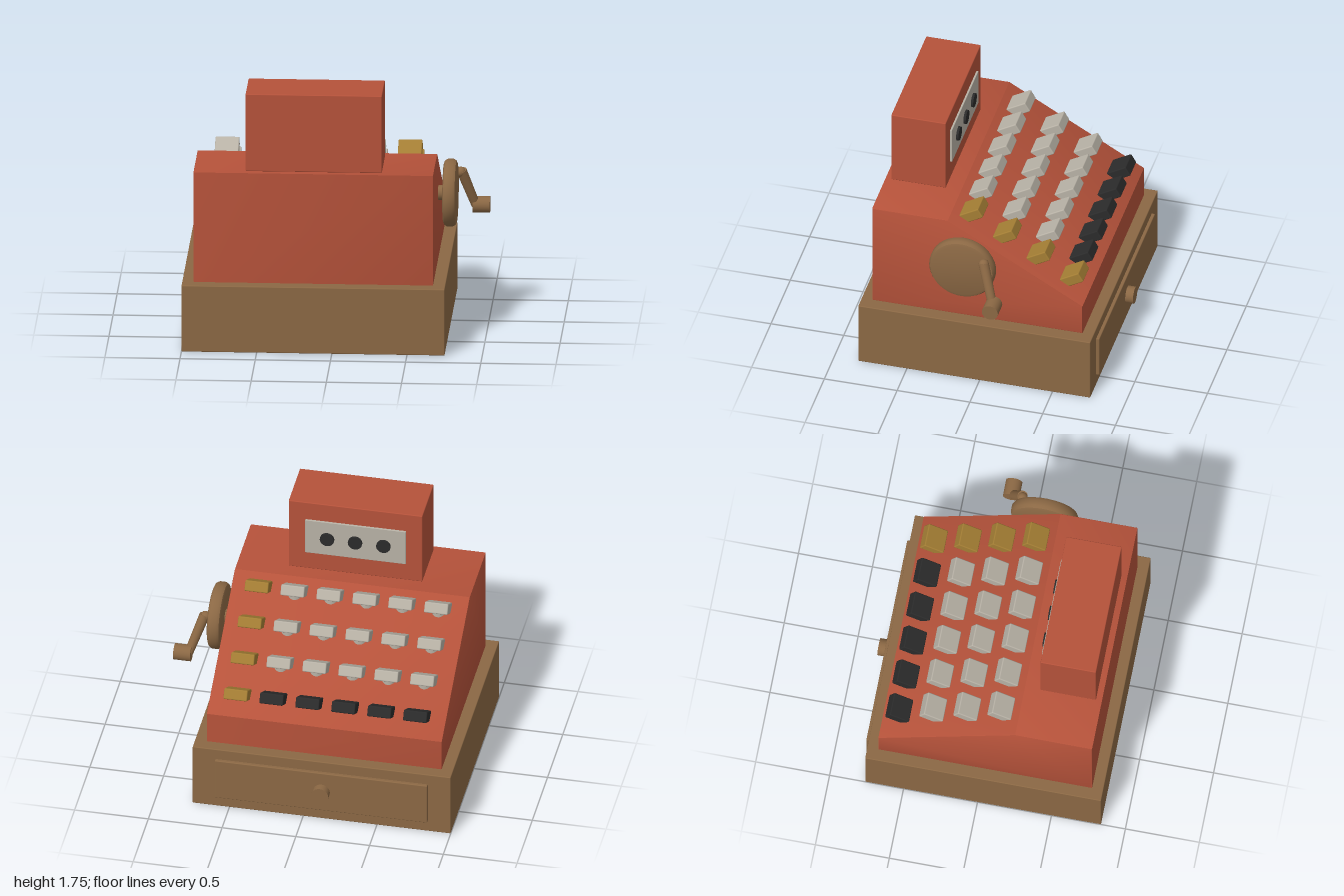
import * as THREE from 'three';
import { RoundedBoxGeometry } from 'three/addons/geometries/RoundedBoxGeometry.js';
import { toCreasedNormals } from 'three/addons/utils/BufferGeometryUtils.js';

function material(name, color) {
  const m = new THREE.MeshStandardMaterial({ color });
  m.name = name;
  return m;
}

export function createModel() {
  const model = new THREE.Group();
  model.name = 'cashRegister';
  const red = material('red paint', 0xb5523a);
  const brown = material('brown wood', 0x8b6844);
  const gold = material('gold', 0xa47e34);
  const ivory = material('ivory', 0xb8b2a6);
  const black = material('black', 0x2b2b2b);

  function add(name, geometry, mat, parent = model) {
    const mesh = new THREE.Mesh(geometry, mat);
    mesh.name = name;
    parent.add(mesh);
    return mesh;
  }

  // Box given by its lower and upper corners
  function box(name, a, b, mat, radius = 0.006) {
    const size = b.map((v, i) => v - a[i]);
    const mesh = add(name, new RoundedBoxGeometry(...size, 2, radius), mat);
    mesh.position.set(...a.map((v, i) => (v + b[i]) / 2));
    return mesh;
  }

  // Cylinder between two points
  function rod(name, a, b, r1, r2, mat, parent = model) {
    const from = new THREE.Vector3(...a), to = new THREE.Vector3(...b);
    const dir = to.clone().sub(from);
    const mesh = add(name, new THREE.CylinderGeometry(r2, r1, dir.length(), 24), mat, parent);
    mesh.position.copy(from).add(to).multiplyScalar(0.5);
    mesh.quaternion.setFromUnitVectors(new THREE.Vector3(0, 1, 0), dir.normalize());
    return mesh;
  }

  // Wooden base with the cash drawer
  box('base', [-1, 0, -0.76], [0.75, 0.457, 0.835], brown);
  box('drawerFront', [-0.845, 0.08, -0.782], [0.595, 0.38, -0.75], brown);
  rod('drawerKnob', [-0.128, 0.232, -0.77], [-0.128, 0.232, -0.835], 0.058, 0.058, brown);

  // Body with the sloping keyboard, extruded across its width
  const bevel = 0.006;
  const profile = new THREE.Shape([
    [-0.76, 0.462], [0.685, 0.462], [0.685, 0.685], [-0.24, 1.22], [-0.76, 1.22],
  ].map(p => new THREE.Vector2(...p)));
  const body = new THREE.ExtrudeGeometry(profile, {
    depth: 1.595 - 2 * bevel, bevelEnabled: true, bevelSize: bevel,
    bevelThickness: bevel, bevelOffset: -bevel, bevelSegments: 2,
  });
  body.rotateY(Math.PI / 2);
  body.translate(-0.925 + bevel, 0, 0);
  add('body', toCreasedNormals(body, 0.4), red);

  // Display housing, plate and dials
  box('displayHousing', [-0.58, 1.222, 0.345], [0.327, 1.755, 0.72], red);
  box('displayPlate', [-0.47, 1.357, 0.332], [0.212, 1.62, 0.35], ivory, 0.003);
  for (const x of [-0.32, -0.128, 0.062]) {
    rod('displayDial', [x, 1.488, 0.34], [x, 1.488, 0.316], 0.048, 0.048, black);
  }

  // Four rows of six tilted keys
  const keys = new THREE.Group();
  keys.name = 'keys';
  model.add(keys);
  const keyShape = new RoundedBoxGeometry(0.16, 0.073, 0.15, 2, 0.008);
  for (let row = 0; row < 4; row++) {
    const z = 0.11 - row * 0.23;
    const y = 1.2 - row * 0.133;
    for (let col = 0; col < 6; col++) {
      const x = -0.735 + col * 0.2435;
      const mat = col === 5 ? gold : row === 3 ? black : ivory;
      const key = add('key', keyShape, mat, keys);
      key.position.set(x, y, z);
      key.rotation.x = Math.PI / 6;
      if (mat === ivory) {
        rod('keyStem', [x, y - 0.09, z + 0.03], [x, y - 0.01, z + 0.03], 0.05, 0.05, ivory, keys);
      }
    }
  }

  // Crank wheel with rounded rim
  const wheelProfile = [
    [0, -0.045], [0.195, -0.045], [0.214, -0.038], [0.225, -0.02],
    [0.225, 0.02], [0.214, 0.038], [0.195, 0.045], [0, 0.045],
  ].map(p => new THREE.Vector2(...p));
  const wheel = add('crankWheel', toCreasedNormals(new THREE.LatheGeometry(wheelProfile, 40), 0.6), brown);
  wheel.rotation.z = -Math.PI / 2;
  wheel.position.set(0.75, 0.918, 0.116);
  rod('crankAxle', [0.66, 0.918, 0.116], [0.73, 0.918, 0.116], 0.05, 0.05, brown);

  // Crank arm and handle
  rod('crankArm', [0.815, 1.025, -0.045], [0.905, 0.765, -0.13], 0.035, 0.03, brown);
  const joint = add('crankJoint', new THREE.SphereGeometry(0.035, 16, 12), brown);
  joint.position.set(0.81, 1.015, -0.045);
  rod('crankHandle', [0.885, 0.765, -0.137], [1, 0.765, -0.137], 0.055, 0.055, brown);

  return model;
}
